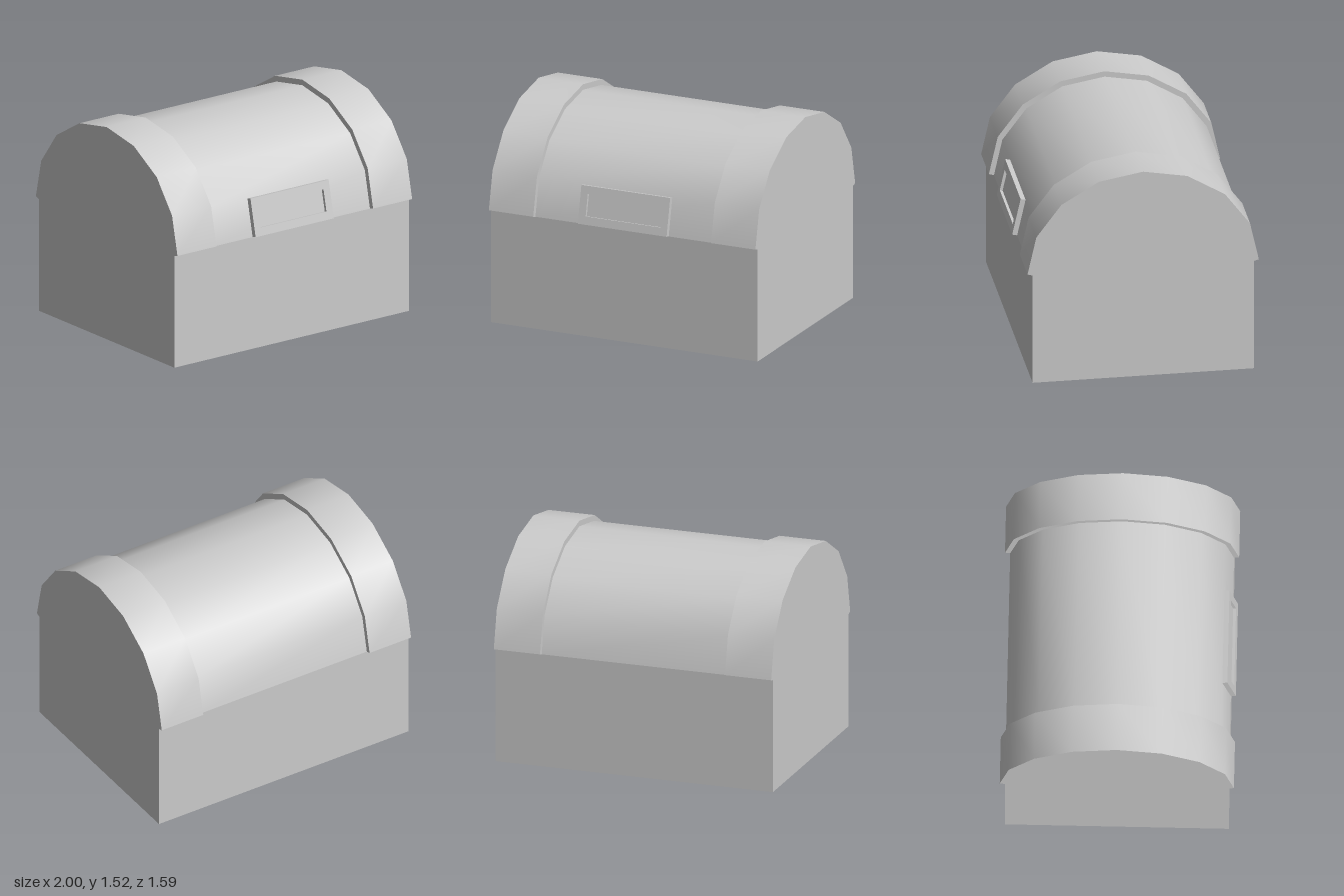
import * as THREE from 'three';
import { toCreasedNormals } from 'three/addons/utils/BufferGeometryUtils.js';

const BODY_W = 2, BODY_H = 0.8, HALF_D = 0.76, BAND_W = 0.333;

export function createModel() {
  const group = new THREE.Group();
  const material = new THREE.MeshStandardMaterial({ color: 0xcccccc });

  function add(name, geometry, parent = group) {
    const mesh = new THREE.Mesh(geometry, material);
    mesh.name = name;
    parent.add(mesh);
    return mesh;
  }

  // Eight-sided half-ellipse standing on the body, extruded along x
  function archGeometry(radiusZ, radiusY, baseY, x0, x1) {
    const shape = new THREE.Shape();
    shape.moveTo(-HALF_D, BODY_H);
    shape.lineTo(HALF_D, BODY_H);
    for (let i = 0; i <= 8; i++) {
      const a = (i / 8) * Math.PI;
      if (baseY === BODY_H && (i === 0 || i === 8)) continue;
      shape.lineTo(radiusZ * Math.cos(a), baseY + radiusY * Math.sin(a));
    }
    shape.closePath();
    const geo = new THREE.ExtrudeGeometry(shape, { depth: x1 - x0, bevelEnabled: false });
    geo.rotateY(Math.PI / 2).translate(x0, 0, 0);
    return toCreasedNormals(geo, 0.6);
  }

  // Chest body
  add('body', new THREE.BoxGeometry(BODY_W, BODY_H, HALF_D * 2)).position.y = BODY_H / 2;

  // Rounded lid and the two raised end bands
  add('lid', archGeometry(HALF_D, 0.68, BODY_H, -1 + BAND_W, 1 - BAND_W));
  add('rightBand', archGeometry(0.795, 0.71, 0.81, -1, -1 + BAND_W));
  add('leftBand', archGeometry(0.795, 0.71, 0.81, 1 - BAND_W, 1));

  // Lock plate lying on the lowest front facet of the lid
  const lock = new THREE.Group();
  lock.name = 'lockPlate';
  lock.position.set(0, BODY_H, HALF_D);
  lock.rotation.x = -Math.atan2(HALF_D * (1 - Math.cos(Math.PI / 8)), 0.68 * Math.sin(Math.PI / 8));
  group.add(lock);

  const rect = (path, hw, y0, y1) =>
    path.moveTo(-hw, y0).lineTo(hw, y0).lineTo(hw, y1).lineTo(-hw, y1).closePath();
  const frame = rect(new THREE.Shape(), 0.333, 0, 0.267);
  frame.holes.push(rect(new THREE.Path(), 0.28, 0.057, 0.212));
  add('lockFrame', new THREE.ExtrudeGeometry(frame, { depth: 0.035, bevelEnabled: false }), lock);

  // Floor of the recess in the plate
  const floor = add('lockRecess', new THREE.BoxGeometry(0.56, 0.155, 0.015), lock);
  floor.position.set(0, 0.1345, 0.0075);

  return group;
}
